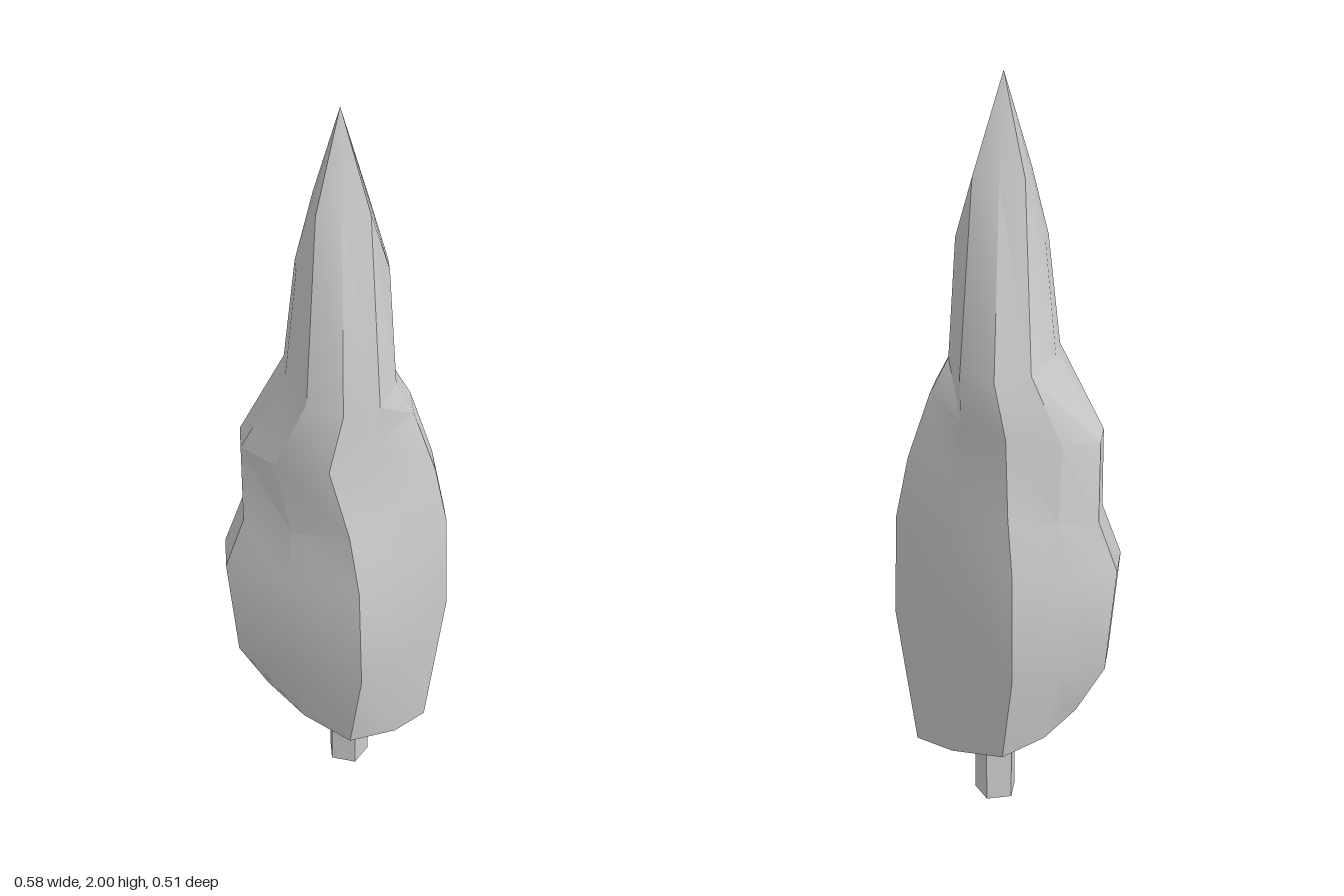
import * as THREE from 'three';
import { toCreasedNormals } from 'three/addons/utils/BufferGeometryUtils.js';

const material = new THREE.MeshStandardMaterial({ color: 0xcccccc });

// Ridge profiles from tip to bottom: [x, y, z]
const front = [[0.005, 2, -0.01], [0.005, 1.75, 0.064], [0, 1.3, 0.19], [-0.035, 1.15, 0.205],
  [0.015, 0.95, 0.21], [0.037, 0.8, 0.25], [0.045, 0.5, 0.252], [0.02, 0.24, 0.2]];
const back = [[0.005, 2, -0.01], [0.005, 1.75, -0.085], [0, 1.3, -0.21], [-0.03, 1.16, -0.225],
  [-0.035, 0.95, -0.225], [-0.05, 0.8, -0.255], [-0.05, 0.5, -0.255], [-0.02, 0.25, -0.22]];

// Side strips from tip to bottom: [x, y, z of front edge, z of back edge]
const left = [[0.005, 2, -0.01, -0.01], [0.12, 1.6, 0.02, -0.03], [0.14, 1.29, 0.035, -0.035], [0.185, 1.2, 0.037, -0.055],
  [0.245, 1.02, 0.035, -0.052], [0.28, 0.85, 0.028, -0.05], [0.29, 0.57, 0.027, -0.05], [0.24, 0.17, 0.035, -0.045]];
const right = [[0.005, 2, -0.01, -0.01], [-0.1, 1.6, 0.02, -0.04], [-0.13, 1.32, 0.028, -0.06], [-0.245, 1.1, 0.015, -0.07],
  [-0.245, 0.88, 0.03, -0.07], [-0.295, 0.74, 0.04, -0.07], [-0.27, 0.45, 0.04, -0.07], [-0.195, 0.31, 0.03, -0.06]];

// How far the panel between two ridges swells out and rises at each level
const swell = [1, 1.15, 1.3, 1.16, 1.1, 1.06, 1.06, 1.14];
const lift = [0, 0.085, 0, 0, 0, 0, 0, 0];

function between(a, b) {
  return a.map((p, k) => {
    const q = b[k], s = swell[k];
    if (k === 0) return p;
    return [(p[0] + q[0]) / 2 * s, (p[1] + q[1]) / 2 + lift[k], (p[2] + q[2]) / 2 * s];
  });
}

function foliageGeometry() {
  const edge = (side, n) => side.map(p => [p[0], p[1], p[n]]);
  const lf = edge(left, 2), lb = edge(left, 3), rf = edge(right, 2), rb = edge(right, 3);
  const columns = [front, between(front, lf), lf, lb, between(lb, back),
    back, between(back, rb), rb, rf, between(rf, front)];
  const positions = [];
  const tri = (...points) => points.forEach(p => positions.push(...p));
  const last = front.length - 1;
  columns.forEach((a, i) => {
    const b = columns[(i + 1) % columns.length];
    for (let k = 0; k < last; k++) {
      tri(a[k], a[k + 1], b[k + 1]);
      if (k > 0) tri(a[k], b[k + 1], b[k]);
    }
    // slanted underside
    tri(a[last], [0.02, 0.24, -0.01], b[last]);
  });
  const geometry = new THREE.BufferGeometry();
  geometry.setAttribute('position', new THREE.Float32BufferAttribute(positions, 3));
  return toCreasedNormals(geometry, 0.45);
}

export function createModel() {
  const group = new THREE.Group();
  group.name = 'tree';

  const foliage = new THREE.Mesh(foliageGeometry(), material);
  foliage.name = 'foliage';
  group.add(foliage);

  // five-sided trunk
  const trunkGeometry = new THREE.CylinderGeometry(0.058, 0.058, 0.3, 5, 1, false, Math.PI / 2);
  const trunk = new THREE.Mesh(toCreasedNormals(trunkGeometry, 0.45), material);
  trunk.name = 'trunk';
  trunk.position.set(0.028, 0.15, -0.008);
  group.add(trunk);

  return group;
}
